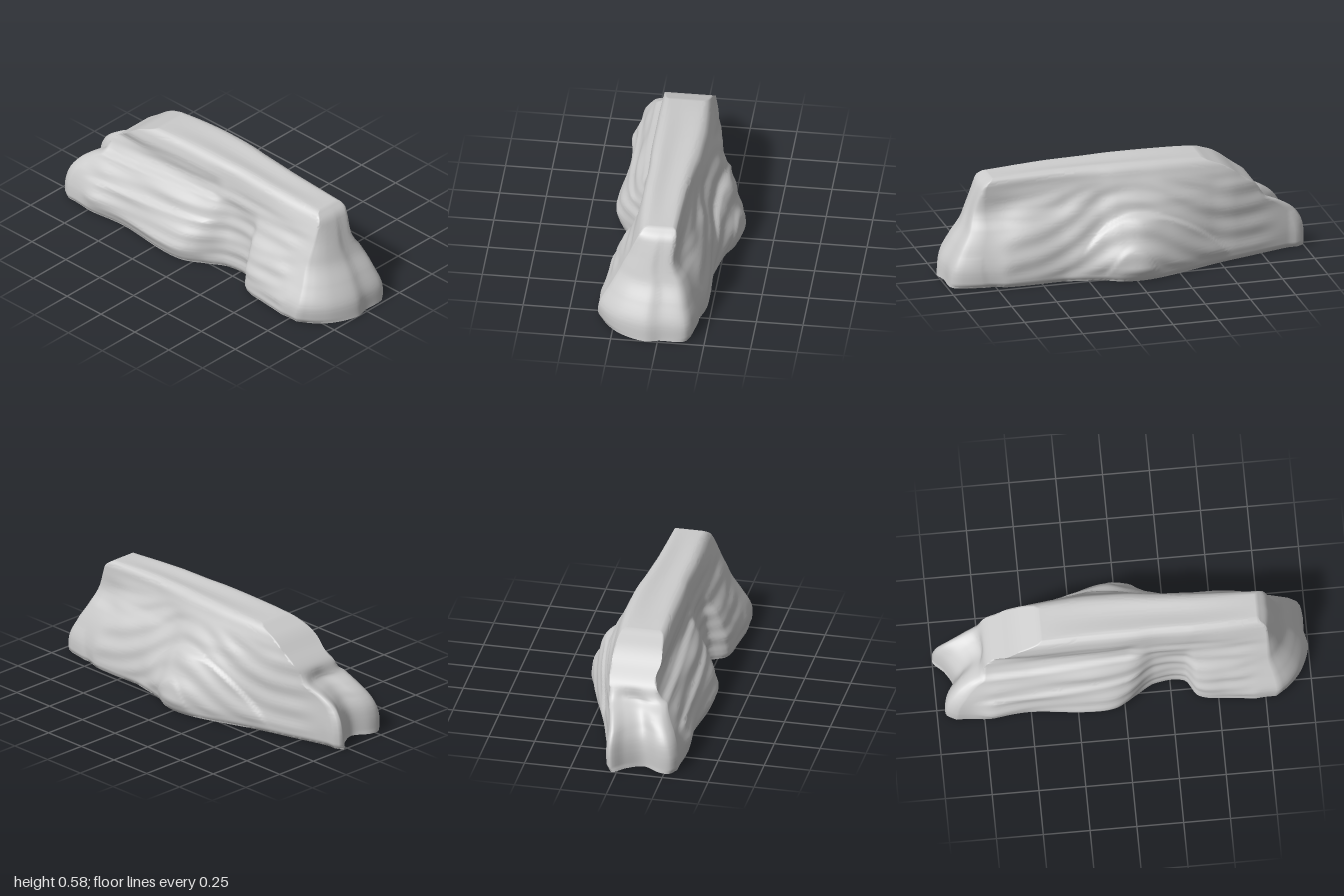
import * as THREE from 'three';
import { mergeVertices, toCreasedNormals } from 'three/addons/utils/BufferGeometryUtils.js';

// Side walls: one row per station along z, one column per height
const HEIGHTS = [0, 0.1, 0.2, 0.3, 0.35, 0.4, 0.5, 0.57];
const STATIONS = [-0.95, -0.75, -0.5, -0.2, -0.05, 0.07, 0.17, 0.33, 0.39, 0.55, 0.75, 0.95];
const NEG_X = [
  [-0.32, -0.315, -0.285, -0.22, -0.19, -0.16, -0.14, -0.11],
  [-0.33, -0.325, -0.285, -0.23, -0.195, -0.17, -0.15, -0.125],
  [-0.31, -0.305, -0.28, -0.235, -0.2, -0.178, -0.16, -0.14],
  [-0.34, -0.33, -0.285, -0.245, -0.205, -0.18, -0.16, -0.14],
  [-0.33, -0.325, -0.28, -0.235, -0.205, -0.18, -0.16, -0.14],
  [-0.265, -0.26, -0.245, -0.215, -0.2, -0.175, -0.155, -0.14],
  [-0.21, -0.21, -0.195, -0.175, -0.17, -0.165, -0.15, -0.135],
  [-0.21, -0.21, -0.2, -0.18, -0.175, -0.17, -0.155, -0.135],
  [-0.3, -0.295, -0.27, -0.22, -0.195, -0.175, -0.155, -0.135],
  [-0.33, -0.32, -0.285, -0.238, -0.208, -0.185, -0.155, -0.125],
  [-0.345, -0.335, -0.285, -0.235, -0.212, -0.187, -0.145, -0.11],
  [-0.34, -0.335, -0.285, -0.23, -0.208, -0.185, -0.135, -0.1],
];
const POS_X = [
  [0.06, 0.065, 0.06, 0.05, 0.05, 0.05, 0.04, 0.035],
  [0.11, 0.11, 0.105, 0.1, 0.095, 0.09, 0.08, 0.065],
  [0.18, 0.18, 0.17, 0.165, 0.16, 0.15, 0.12, 0.095],
  [0.29, 0.285, 0.265, 0.235, 0.215, 0.2, 0.145, 0.115],
  [0.325, 0.328, 0.295, 0.26, 0.22, 0.2, 0.142, 0.115],
  [0.315, 0.313, 0.275, 0.225, 0.2, 0.18, 0.135, 0.11],
  [0.27, 0.27, 0.235, 0.195, 0.175, 0.155, 0.12, 0.1],
  [0.235, 0.23, 0.215, 0.185, 0.165, 0.135, 0.1, 0.09],
  [0.225, 0.225, 0.21, 0.18, 0.16, 0.13, 0.095, 0.085],
  [0.23, 0.23, 0.21, 0.178, 0.15, 0.115, 0.085, 0.08],
  [0.225, 0.225, 0.2, 0.15, 0.11, 0.085, 0.078, 0.075],
  [0.2, 0.195, 0.165, 0.12, 0.09, 0.075, 0.07, 0.07],
];

// Smooth curve through values ys at positions xs
function curve(xs, ys, x) {
  const n = xs.length;
  x = THREE.MathUtils.clamp(x, xs[0], xs[n - 1]);
  let i = 0;
  while (i < n - 2 && x > xs[i + 1]) i++;
  const h = xs[i + 1] - xs[i], f = (x - xs[i]) / h;
  const slope = (k) => {
    const a = Math.max(k - 1, 0), b = Math.min(k + 1, n - 1);
    return (ys[b] - ys[a]) / (xs[b] - xs[a]);
  };
  const f2 = f * f, f3 = f2 * f;
  return (2 * f3 - 3 * f2 + 1) * ys[i] + (f3 - 2 * f2 + f) * h * slope(i)
    + (3 * f2 - 2 * f3) * ys[i + 1] + (f3 - f2) * h * slope(i + 1);
}
const wall = (table, y, z) => curve(STATIONS, table.map((row) => curve(HEIGHTS, row, y)), z);
const { smoothstep, lerp } = THREE.MathUtils;

// End slopes by height, and end outlines across the width
const frontZ = (y) => curve([0, 0.1, 0.2, 0.3, 0.5, 0.54, 0.57], [1, 0.985, 0.935, 0.875, 0.8, 0.775, 0.73], y);
const backZ = (y) => curve([0, 0.1, 0.17, 0.23, 0.28, 0.32, 0.4, 0.46, 0.53, 0.57],
  [-1, -0.998, -0.98, -0.935, -0.86, -0.78, -0.72, -0.64, -0.54, -0.43], y);
const frontInset = (s) => curve([0, 0.1, 0.25, 0.5, 0.65, 0.9, 0.96, 1],
  [0.2, 0.12, 0.05, 0, 0.015, 0.02, 0.07, 0.18], s);
const backInset = (s) => curve([0, 0.08, 0.25, 0.5, 0.75, 0.93, 1], [0.1, 0.05, 0.05, 0.1, 0.06, 0, 0.04], s);

// Layered rock on the -x side: a stepped ledge behind the notch, plus faint tilted layers
function negStrata(y, z) {
  const layers = 0.003 * Math.sin(48 * y + 5 * z) + 0.002 * Math.sin(85 * y - 7 * z);
  const behind = 1 - smoothstep(z, 0.02, 0.12);
  const upper = smoothstep(0.37 + 0.06 * z - y, -0.012, 0.012) - 0.5;
  const lower = smoothstep(0.25 + 0.08 * z - y, -0.012, 0.012) - 0.5;
  return layers + behind * (0.022 * upper + 0.014 * lower);
}

// Layered rock on the +x side, arching over two nested shelves
function posStrata(y, z) {
  const layers = 0.0035 * Math.sin(52 * (y - 0.25 * Math.exp(-((z / 0.33) ** 2))) + 1.5 * z);
  const outer = 0.33 - (z > -0.03 ? 2 : 1) * (z + 0.03) ** 2 - y;
  const inner = 0.18 - 8 * (z - 0.02) ** 2 - y;
  const near = 1 - smoothstep(Math.abs(z + 0.15), 0.3, 0.45);
  return layers + near * (0.018 * (smoothstep(outer, -0.012, 0.012) - 0.5) + 0.008 * smoothstep(inner, -0.015, 0.02));
}

// Maps a unit block (s across, v up, t back to front) onto the rock
function shapePoint(s, v, t) {
  const y = v * 0.57;
  const z0 = lerp(backZ(y), frontZ(y), t);
  const relief = smoothstep(y, 0.01, 0.08) * (1 - smoothstep(y, 0.42, 0.5))
    * (1 - smoothstep(z0, 0.6, 0.88)) * smoothstep(z0, -0.92, -0.7);
  // Rounded foot and shoulder
  const k = Math.max(0, (y - 0.53) / 0.04);
  const round = 0.01 * (1 - smoothstep(y, 0, 0.025)) + 0.025 * (1 - Math.sqrt(Math.max(0, 1 - k * k)));
  const x0 = wall(NEG_X, y, z0) - relief * negStrata(y, z0) + round;
  const x1 = wall(POS_X, y, z0) + relief * posStrata(y, z0) - round;
  const z = z0 - frontInset(s) * (1 - v) * smoothstep(t, 0.8, 1)
    + backInset(s) * (1 - smoothstep(y, 0.2, 0.4)) * smoothstep(1 - t, 0.8, 1);
  // Crest rises mid-length and dips slightly between its two rims
  const crest = curve([-0.5, -0.3, 0, 0.4, 0.75], [0.565, 0.577, 0.582, 0.575, 0.562], z) / 0.57;
  const rim = 0.005 * Math.cos(2 * Math.PI * s) - 0.006 * Math.abs(2 * s - 1) ** 8;
  return [lerp(x0, x1, s), y * crest + rim * smoothstep(v, 0.92, 1) * Math.sin(Math.PI * t), z];
}

export function createModel() {
  const group = new THREE.Group();
  group.name = 'rock';

  let geo = new THREE.BoxGeometry(1, 1, 1, 28, 72, 140);
  geo.deleteAttribute('normal');
  geo.deleteAttribute('uv');
  geo = mergeVertices(geo);
  const pos = geo.attributes.position;
  for (let i = 0; i < pos.count; i++) {
    pos.setXYZ(i, ...shapePoint(pos.getX(i) + 0.5, pos.getY(i) + 0.5, pos.getZ(i) + 0.5));
  }
  geo = toCreasedNormals(geo, 1.3);

  const boulder = new THREE.Mesh(geo, new THREE.MeshStandardMaterial({ color: 0xcccccc, roughness: 0.9 }));
  boulder.name = 'boulder';
  group.add(boulder);
  return group;
}
